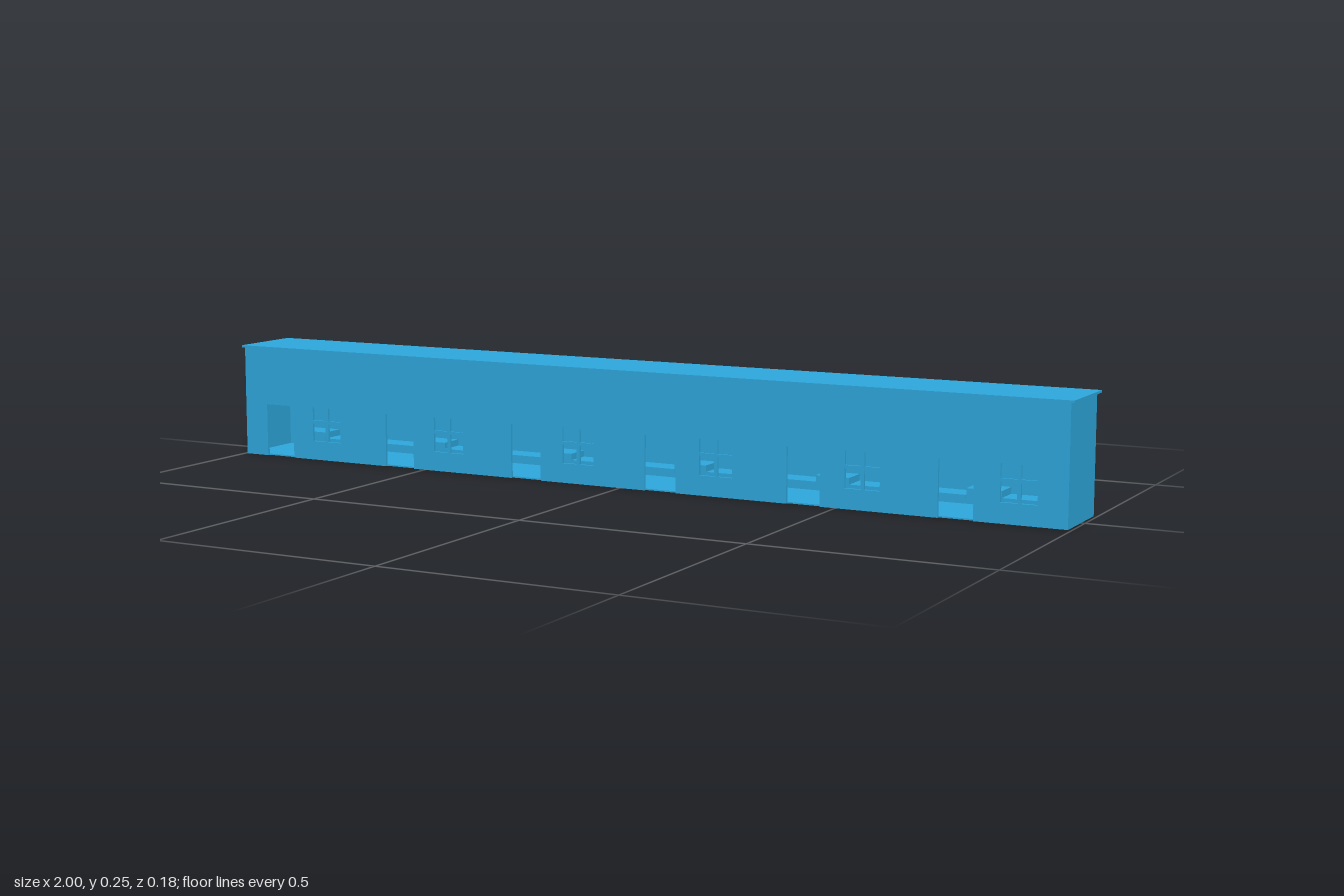
import * as THREE from 'three';

const UNITS = 6, PITCH = 0.3315;
const LEFT = -0.995, RIGHT = 0.992, HEIGHT = 0.25, DEPTH = 0.166, WALL = 0.006;
const DOOR = { x: -0.935, w: 0.075, h: 0.12 };
const WINDOW = { x: -0.805, y: 0.043, w: 0.077, h: 0.078 };

export function createModel() {
  const model = new THREE.Group();
  model.name = 'rowHouse';
  const blue = new THREE.MeshStandardMaterial({ color: 0x2fa9df });

  // box given by its lower and upper limits on each axis
  function box(name, x0, x1, y0, y1, z0, z1, parent = model) {
    const mesh = new THREE.Mesh(new THREE.BoxGeometry(x1 - x0, y1 - y0, z1 - z0), blue);
    mesh.position.set((x0 + x1) / 2, (y0 + y1) / 2, (z0 + z1) / 2);
    mesh.name = name;
    parent.add(mesh);
  }

  const back = -DEPTH / 2, front = DEPTH / 2;

  // front wall: doorways notch the lower edge, windows are holes
  const outline = new THREE.Shape();
  outline.moveTo(LEFT, 0);
  for (let i = 0; i < UNITS; i++) {
    const x = DOOR.x + i * PITCH;
    outline.lineTo(x, 0);
    outline.lineTo(x, DOOR.h);
    outline.lineTo(x + DOOR.w, DOOR.h);
    outline.lineTo(x + DOOR.w, 0);
  }
  outline.lineTo(RIGHT, 0);
  outline.lineTo(RIGHT, HEIGHT);
  outline.lineTo(LEFT, HEIGHT);
  outline.closePath();
  for (let i = 0; i < UNITS; i++) {
    const x = WINDOW.x + i * PITCH, { y, w, h } = WINDOW;
    outline.holes.push(new THREE.Path([
      new THREE.Vector2(x, y), new THREE.Vector2(x, y + h),
      new THREE.Vector2(x + w, y + h), new THREE.Vector2(x + w, y),
    ]));
  }
  const wall = new THREE.Mesh(
    new THREE.ExtrudeGeometry(outline, { depth: WALL, bevelEnabled: false }), blue);
  wall.position.z = front - WALL;
  wall.name = 'frontWall';
  model.add(wall);

  // remaining shell
  box('backWall', LEFT, RIGHT, 0, HEIGHT, back, back + WALL);
  box('rightWall', LEFT, LEFT + WALL, 0, HEIGHT, back + WALL, front - WALL);
  box('leftWall', RIGHT - WALL, RIGHT, 0, HEIGHT, back + WALL, front - WALL);
  box('floor', LEFT + WALL, RIGHT - WALL, 0, 0.003, back + WALL, front - WALL);
  box('roof', -1, 1, HEIGHT, 0.255, -0.088, 0.088);

  // window bars and furniture of each dwelling
  for (let i = 0; i < UNITS; i++) {
    const dwelling = new THREE.Group();
    dwelling.name = 'dwelling';
    dwelling.position.x = i * PITCH;
    model.add(dwelling);
    const { x, y, w, h } = WINDOW, mid = x + w / 2;
    const z0 = front - WALL, z1 = front - 0.001;
    box('windowMullion', mid - 0.004, mid + 0.004, y, y + h, z0, z1, dwelling);
    for (const [a, b] of [[x, mid - 0.004], [mid + 0.004, x + w]])
      box('windowTransom', a, b, y + 0.041, y + 0.048, z0, z1, dwelling);

    // low bench with a raised block at its end
    const end = i === UNITS - 1 ? -0.69 : -0.575;
    box('bench', -0.9, end, 0.028, 0.036, -0.055, 0.0, dwelling);
    box('benchBlock', -0.905, -0.83, 0.02, 0.05, -0.056, 0.001, dwelling);
  }
  return model;
}
